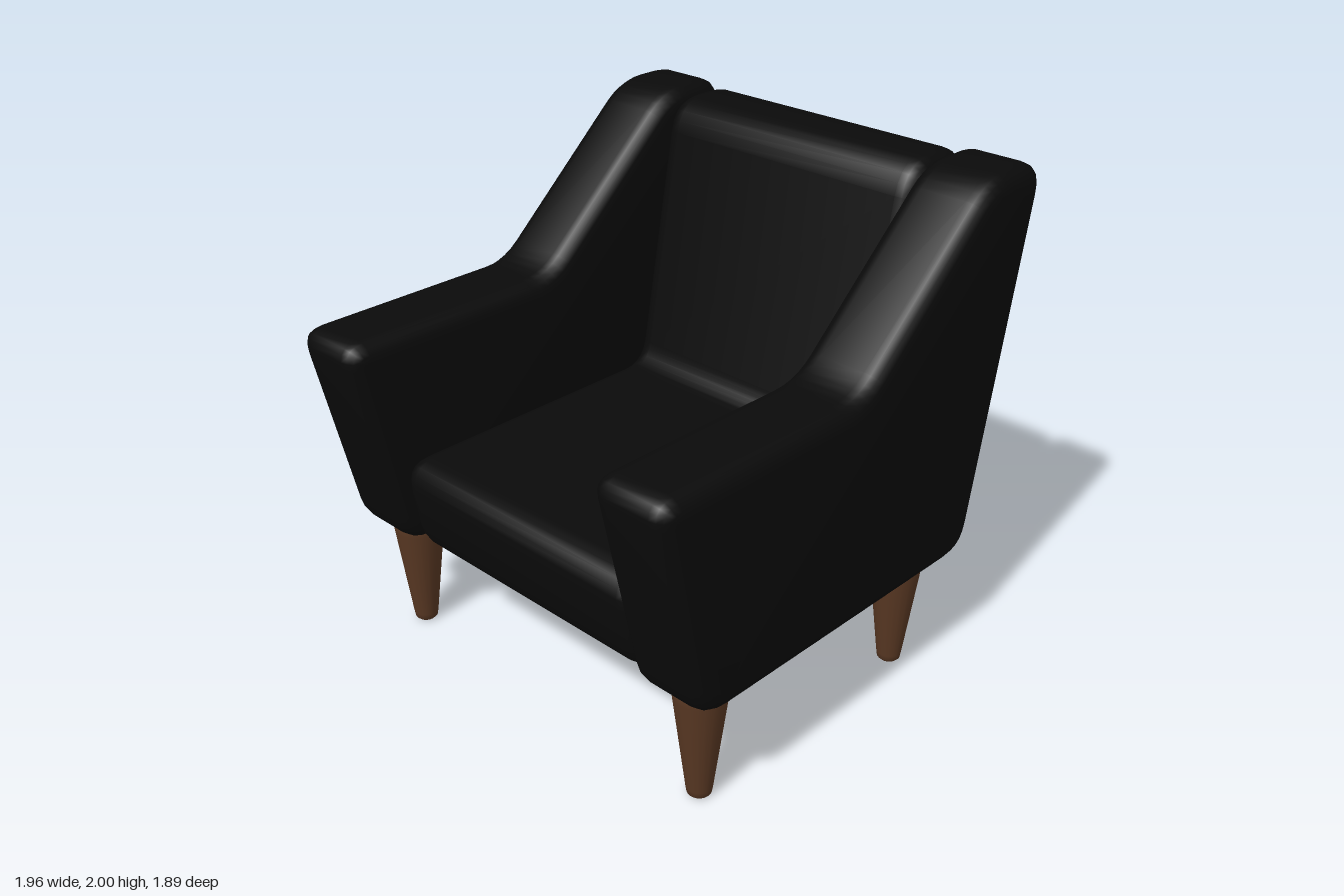
import * as THREE from 'three';
import { mergeVertices, toCreasedNormals } from 'three/addons/utils/BufferGeometryUtils.js';

// Closed outline whose corners [x, y, cut] are rounded by cutting back along both edges
function roundedOutline(corners) {
  const shape = new THREE.Shape();
  const n = corners.length;
  corners.forEach(([x, y, cut], i) => {
    const p = new THREE.Vector2(x, y);
    const towards = ([qx, qy]) =>
      new THREE.Vector2(qx, qy).sub(p).normalize().multiplyScalar(cut).add(p);
    const a = towards(corners[(i + n - 1) % n]);
    const b = towards(corners[(i + 1) % n]);
    if (i === 0) shape.moveTo(a.x, a.y);
    else shape.lineTo(a.x, a.y);
    shape.quadraticCurveTo(x, y, b.x, b.y);
  });
  shape.closePath();
  return shape;
}

// Padded panel: outline in the xy plane, centred on z = 0, with soft edges
function cushion(corners, width) {
  const soft = 0.07;
  const geo = new THREE.ExtrudeGeometry(roundedOutline(corners), {
    depth: width - 2 * soft,
    bevelThickness: soft,
    bevelSize: soft,
    bevelOffset: -soft,
    bevelSegments: 4,
    curveSegments: 5,
  });
  geo.translate(0, 0, soft - width / 2);
  geo.deleteAttribute('uv');
  geo.deleteAttribute('normal');
  return toCreasedNormals(mergeVertices(geo, 1e-4), 0.75);
}

export function createModel() {
  const chair = new THREE.Group();
  chair.name = 'armchair';

  const fabric = new THREE.MeshStandardMaterial({ color: 0x0a0a0a });
  fabric.name = 'black upholstery';
  const wood = new THREE.MeshStandardMaterial({ color: 0x593823 });
  wood.name = 'brown wood';

  const add = (name, geo, mat, x, y, z) => {
    const mesh = new THREE.Mesh(geo, mat);
    mesh.name = name;
    mesh.position.set(x, y, z);
    chair.add(mesh);
  };

  // Seat and backrest in one padded L, opening towards -x
  const seat = cushion([
    [-0.755, 0.47, 0.13],
    [0.705, 0.47, 0.13],
    [0.99, 1.98, 0.13],
    [0.65, 1.98, 0.13],
    [0.45, 0.88, 0.09],
    [-0.825, 0.88, 0.13],
  ], 1.23);
  add('seatAndBack', seat, fabric, 0, 0, 0);

  // Side panels with sloping armrests
  const arm = cushion([
    [-0.795, 0.473, 0.13],
    [0.706, 0.473, 0.13],
    [0.995, 2.0, 0.13],
    [0.667, 2.0, 0.11],
    [-0.017, 1.388, 0.1],
    [-1.0, 1.388, 0.1],
  ], 0.33);

  // Tapered round legs
  const legProfile = [
    [0, 0], [0.036, 0], [0.046, 0.01], [0.05, 0.035],
    [0.1, 0.44], [0.106, 0.49], [0.098, 0.51], [0, 0.515],
  ].map(([r, y]) => new THREE.Vector2(r, y));
  const leg = toCreasedNormals(new THREE.LatheGeometry(legProfile, 20), 0.75);

  for (const [side, s] of [['Front', 1], ['Back', -1]]) {
    add('arm' + side, arm, fabric, 0, 0, s * 0.78);
    add('frontLeg' + side, leg, wood, -0.635, 0, s * 0.78);
    add('rearLeg' + side, leg, wood, 0.48, 0, s * 0.78);
  }
  return chair;
}
